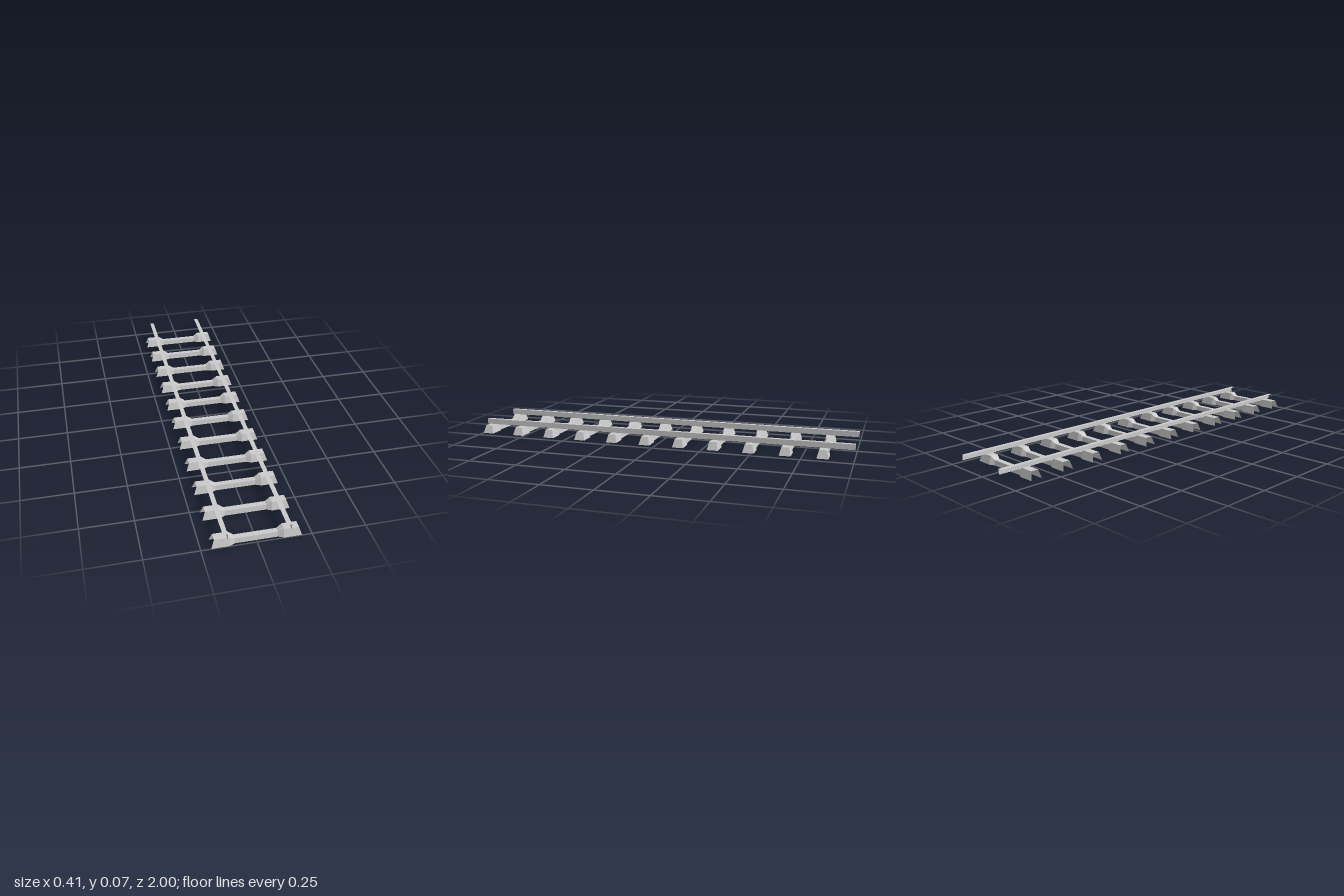
import * as THREE from 'three';

const material = new THREE.MeshStandardMaterial({
  color: 0xcccccc, flatShading: true, side: THREE.DoubleSide,
});

// Skins a row of open cross-sections (each a list of [x, y, z] points)
function loft(sections, capEnd) {
  const pos = [];
  const quad = (a, b, c, d) => pos.push(...a, ...b, ...c, ...a, ...c, ...d);
  for (let i = 0; i < sections.length - 1; i++) {
    const s = sections[i], t = sections[i + 1];
    for (let j = 0; j < s.length - 1; j++) quad(s[j], s[j + 1], t[j + 1], t[j]);
  }
  if (capEnd) quad(...sections[sections.length - 1]);
  const geometry = new THREE.BufferGeometry();
  geometry.setAttribute('position', new THREE.Float32BufferAttribute(pos, 3));
  geometry.computeVertexNormals();
  return geometry;
}

// Hollow sleeper: wide raised seats at both ends, low narrow waist between
function sleeperGeometry() {
  // bottom x, top x, top y, bottom half width, top half width
  const half = [
    [0.204, 0.19, 0.041, 0.029, 0.019],
    [0.122, 0.122, 0.041, 0.029, 0.019],
    [0.097, 0.097, 0.025, 0.017, 0.013],
  ];
  const stations = [
    ...half.map(([bx, tx, ...rest]) => [-bx, -tx, ...rest]),
    ...half.slice().reverse(),
  ];
  const sections = stations.map(([bx, tx, h, wb, wt]) => [
    [bx, 0, wb], [tx, h, wt], [tx, h, -wt], [bx, 0, -wb],
  ]);
  return loft(sections, true);
}

// Rail: an open strip with a top and one side wall
function railGeometry() {
  const section = (z) => [[-0.011, 0.071, z], [0.011, 0.071, z], [0.011, 0.043, z]];
  return loft([section(1), section(-1)], false);
}

export function createModel() {
  const group = new THREE.Group();
  group.name = 'railwayTrack';

  // Sleepers
  const sleeper = sleeperGeometry();
  for (let i = 0; i < 11; i++) {
    const mesh = new THREE.Mesh(sleeper, material);
    mesh.name = `sleeper${i + 1}`;
    mesh.position.z = 0.97 - i * 0.182;
    group.add(mesh);
  }

  // Rails
  const rail = railGeometry();
  for (const [name, x] of [['leftRail', 0.143], ['rightRail', -0.143]]) {
    const mesh = new THREE.Mesh(rail, material);
    mesh.name = name;
    mesh.position.x = x;
    group.add(mesh);
  }
  return group;
}
